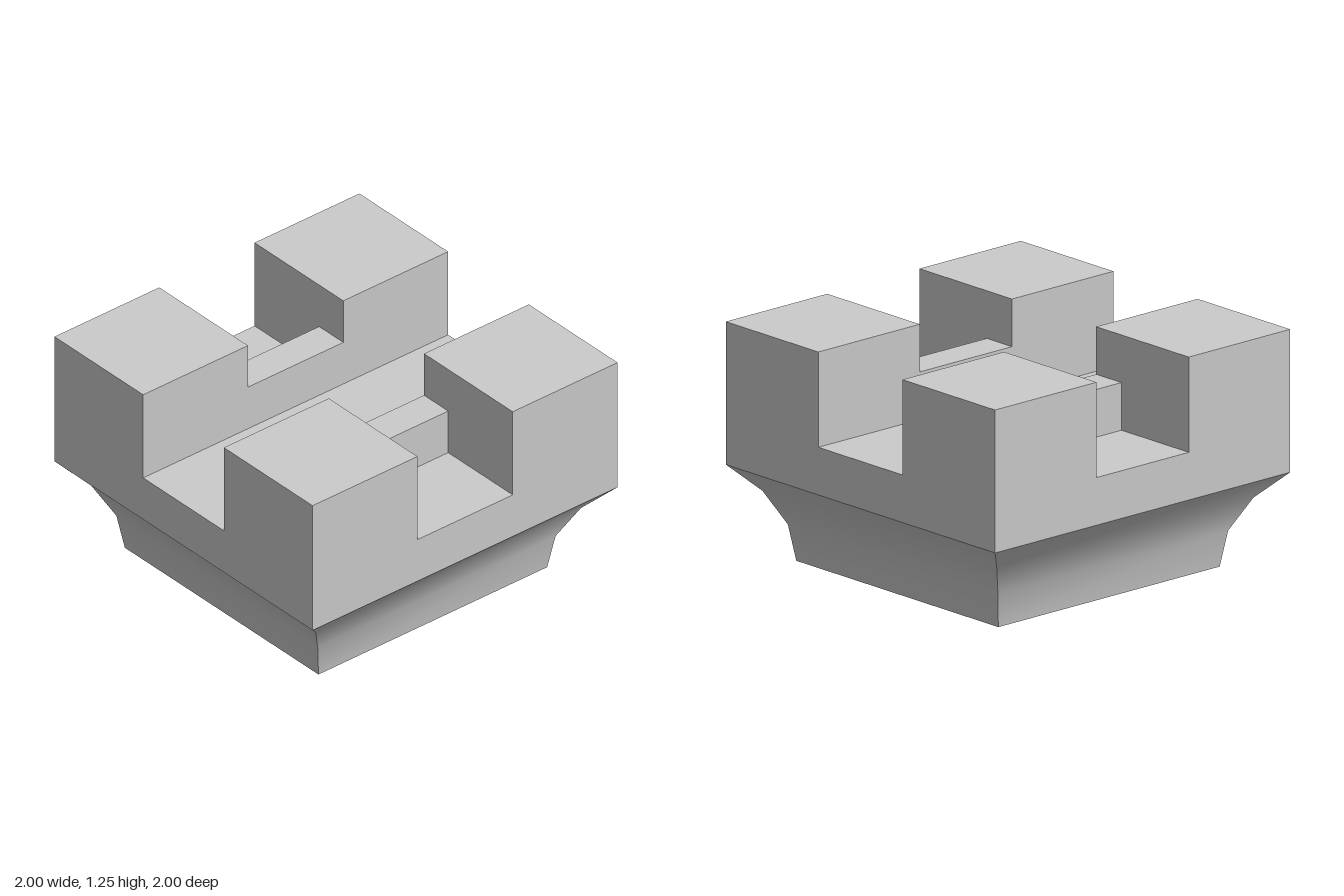
import * as THREE from 'three';
import { mergeGeometries } from 'three/addons/utils/BufferGeometryUtils.js';

const GAP = 0.3125;   // half width of the notches
const FLOOR = 0.75;   // notch floor height
const TOP = 1.25;     // post height
const LEDGE_X = 0.5;  // outer side of the raised ledges
const LEDGE_Y = 1;
const BODY_Y = 0.5;   // where the cove meets the body

const material = new THREE.MeshStandardMaterial({ color: 0xcccccc });

// Upright panel turned about y, then placed by its centre
function wall(w, h, turn, x, y, z) {
  return new THREE.PlaneGeometry(w, h).rotateY(turn).translate(x, y, z);
}

// Level panel facing up
function level(w, d, x, y, z) {
  return new THREE.PlaneGeometry(w, d).rotateX(-Math.PI / 2).translate(x, y, z);
}

function part(name, geometries) {
  const mesh = new THREE.Mesh(mergeGeometries(geometries), material);
  mesh.name = name;
  return mesh;
}

// Notched outer face, repeated on four sides
function outerFace(turn) {
  const shape = new THREE.Shape([
    [-1, BODY_Y], [1, BODY_Y], [1, TOP], [GAP, TOP],
    [GAP, FLOOR], [-GAP, FLOOR], [-GAP, TOP], [-1, TOP],
  ].map(([x, y]) => new THREE.Vector2(x, y)));
  return new THREE.ShapeGeometry(shape).translate(0, 0, 1).rotateY(turn);
}

// One mitred side of the concave base, smooth along its profile
function coveSide(turn) {
  const profile = [[1, BODY_Y], [0.87, 0.365], [0.78, 0.19], [0.75, 0]];
  const g = new THREE.PlaneGeometry(2, 1, 1, profile.length - 1);
  const p = g.attributes.position;
  for (let i = 0; i < p.count; i++) {
    const [r, y] = profile[Math.floor(i / 2)];
    p.setXYZ(i, Math.sign(p.getX(i)) * r, y, r);
  }
  g.computeVertexNormals();
  return g.rotateY(turn);
}

export function createModel() {
  const group = new THREE.Group();
  group.name = 'notchedBlock';
  const turns = [0, 1, 2, 3].map((i) => i * Math.PI / 2);
  const postW = 1 - GAP, postMid = (1 + GAP) / 2;
  const postH = TOP - FLOOR, postY = (TOP + FLOOR) / 2;

  group.add(part('outerWalls', turns.map(outerFace)));
  group.add(part('coveBase', turns.map(coveSide)));
  group.add(part('underside', [new THREE.PlaneGeometry(1.5, 1.5).rotateX(Math.PI / 2)]));

  // Corner posts: top and the two faces towards the notches
  for (const sx of [-1, 1]) {
    for (const sz of [-1, 1]) {
      group.add(part('cornerPost', [
        level(postW, postW, sx * postMid, TOP, sz * postMid),
        wall(postW, postH, -sx * Math.PI / 2, sx * GAP, postY, sz * postMid),
        wall(postW, postH, sz > 0 ? Math.PI : 0, sx * postMid, postY, sz * GAP),
      ]));
    }
  }

  // Long channel and the two side notch floors
  const sideW = 1 - LEDGE_X, sideMid = (1 + LEDGE_X) / 2;
  group.add(part('notchFloors', [
    level(2 * GAP, 2, 0, FLOOR, 0),
    ...[-1, 1].map((s) => level(sideW, 2 * GAP, s * sideMid, FLOOR, 0)),
  ]));

  // Raised ledges between the channel and the side notches
  const ledgeH = LEDGE_Y - FLOOR, ledgeY = (LEDGE_Y + FLOOR) / 2;
  for (const s of [-1, 1]) {
    group.add(part(s > 0 ? 'leftLedge' : 'rightLedge', [
      level(LEDGE_X - GAP, 2 * GAP, s * (LEDGE_X + GAP) / 2, LEDGE_Y, 0),
      wall(2 * GAP, ledgeH, s * Math.PI / 2, s * LEDGE_X, ledgeY, 0),
      wall(2 * GAP, ledgeH, -s * Math.PI / 2, s * GAP, ledgeY, 0),
    ]));
  }
  return group;
}
